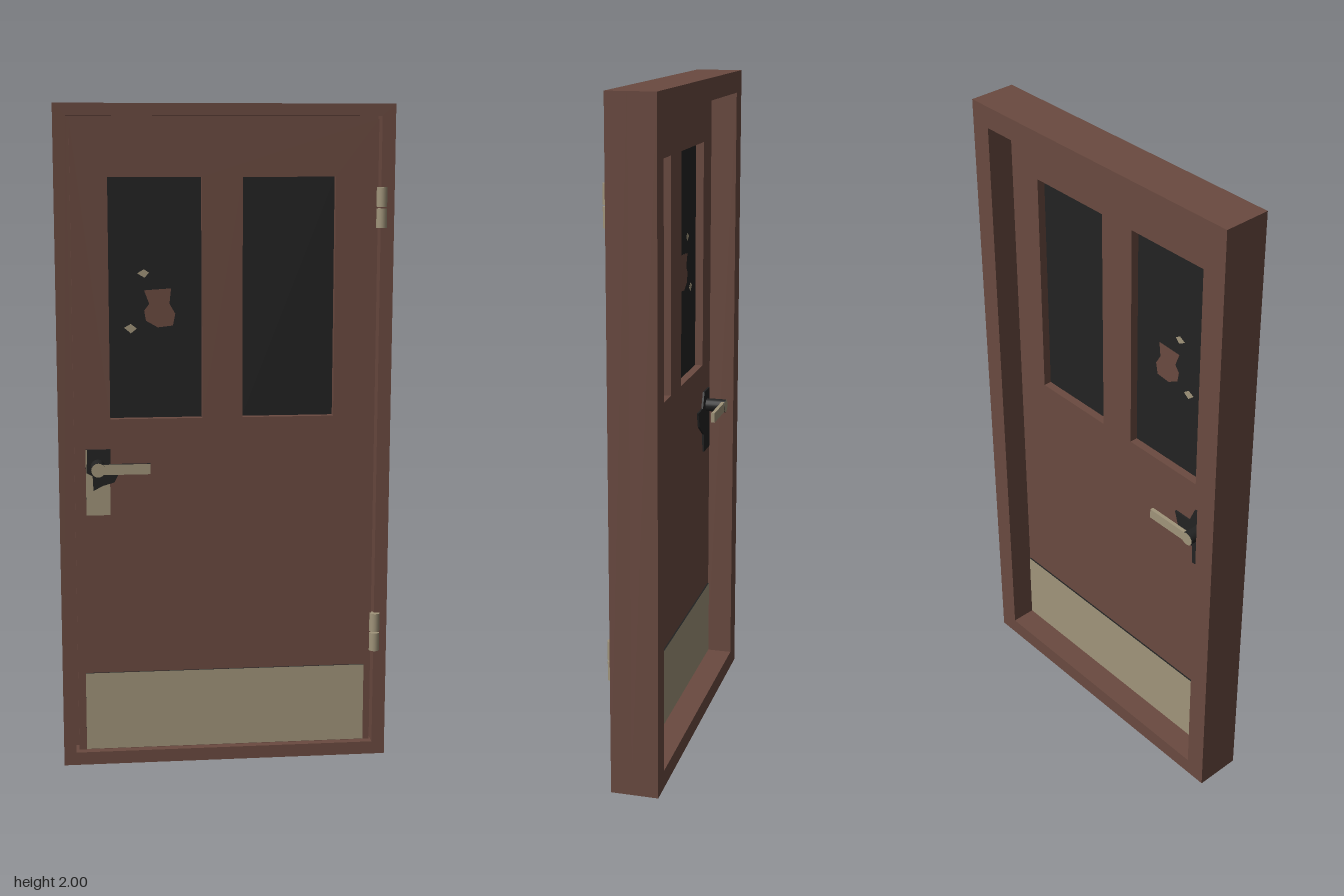
import * as THREE from 'three';

const mat = (name, color, side = THREE.FrontSide) => {
  const m = new THREE.MeshStandardMaterial({ color, side });
  m.name = name;
  return m;
};

export function createModel() {
  const wood = mat('brown paint', 0x6a4a40);
  const metal = mat('brushed metal', 0xa0947a);
  const dark = mat('black glass', 0x222222);
  const door = new THREE.Group();
  door.name = 'door';

  const add = (name, geo, material, x = 0, y = 0, z = 0) => {
    const mesh = new THREE.Mesh(geo, material);
    mesh.name = name;
    mesh.position.set(x, y, z);
    door.add(mesh);
    return mesh;
  };
  // Box from minimum and maximum corners
  const box = (name, material, x0, x1, y0, y1, z0, z1) =>
    add(name, new THREE.BoxGeometry(x1 - x0, y1 - y0, z1 - z0), material,
      (x0 + x1) / 2, (y0 + y1) / 2, (z0 + z1) / 2);
  const polygon = pts => pts.map(p => new THREE.Vector2(...p));
  const rect = ([x0, x1, y0, y1]) => polygon([[x0, y0], [x1, y0], [x1, y1], [x0, y1]]);
  // Slab with an outline and optional openings, between two depths
  const slab = (name, material, outline, holes, z0, z1) => {
    const shape = new THREE.Shape(outline);
    holes.forEach(h => shape.holes.push(new THREE.Path(h)));
    return add(name, new THREE.ExtrudeGeometry(shape, { depth: z1 - z0, bevelEnabled: false }),
      material, 0, 0, z0);
  };

  // Frame: wide rebate in front, narrower stop behind
  const outer = rect([-0.5, 0.5, 0, 2]);
  slab('frameFront', wood, outer, [rect([-0.462, 0.46, 0.04, 1.965])], -0.027, 0.035);
  slab('frameStop', wood, outer, [rect([-0.435, 0.435, 0.055, 1.935])], -0.107, -0.027);

  // Leaf with two window openings
  const windows = [[-0.345, -0.07, 1.08, 1.79], [0.05, 0.325, 1.08, 1.79]];
  slab('leaf', wood, rect([-0.453, 0.451, 0.049, 1.956]), windows.map(rect), -0.025, 0.033);
  windows.forEach(([x0, x1, y0, y1]) => box('glass', dark, x0, x1, y0, y1, 0, 0.008));

  // Broken spots in the left pane, showing on both faces
  const spots = [
    [wood, [[-0.24, 1.46], [-0.16, 1.465], [-0.165, 1.42], [-0.148, 1.39], [-0.155, 1.355],
      [-0.2, 1.35], [-0.235, 1.37], [-0.24, 1.4], [-0.225, 1.42]]],
    [metal, [[-0.26, 1.51], [-0.24, 1.522], [-0.225, 1.512], [-0.238, 1.497]]],
    [metal, [[-0.3, 1.35], [-0.28, 1.361], [-0.262, 1.347], [-0.28, 1.333]]],
  ];
  spots.forEach(([m, pts]) => slab('glassSpot', m, polygon(pts), [], -0.0005, 0.0085));

  // Kick plates on both faces; box sides are dark, broad faces are metal
  const plateMats = [dark, dark, dark, dark, metal, metal];
  box('kickPlateFront', plateMats, -0.43, 0.43, 0.052, 0.295, 0.033, 0.038);
  box('kickPlateBack', plateMats, -0.434, 0.434, 0.056, 0.3, -0.03, -0.025);

  // Front escutcheon with dark upper part
  box('lockPlateFront', plateMats, -0.42, -0.348, 0.79, 0.99, 0.033, 0.04);
  slab('lockPlateDarkFront', dark,
    polygon([[-0.415, 0.99], [-0.346, 0.99], [-0.346, 0.93], [-0.32, 0.92], [-0.335, 0.89],
      [-0.37, 0.88], [-0.398, 0.865], [-0.4, 0.91], [-0.418, 0.92]]), [], 0.034, 0.041);
  // Back escutcheon
  slab('lockPlateBack', dark,
    polygon([[-0.42, 0.99], [-0.35, 0.99], [-0.33, 0.94], [-0.27, 0.94], [-0.285, 0.89],
      [-0.345, 0.85], [-0.348, 0.79], [-0.42, 0.79]]), [], -0.031, -0.025);

  // Lever handles: round hub and flat bar on each face
  [[0.07, 0.088, 0.099], [-0.06, -0.093, -0.082]].forEach(([hubZ, z0, z1], i) => {
    const hub = add(i ? 'hubBack' : 'hubFront', new THREE.CylinderGeometry(0.021, 0.021, 0.069, 16),
      [dark, metal, metal], -0.384, 0.94, hubZ);
    hub.rotation.x = Math.PI / 2;
    const barMats = i ? [metal, metal, metal, dark, metal, metal] : [dark, dark, dark, dark, metal, metal];
    box(i ? 'leverBack' : 'leverFront', barMats, -0.384, -0.23, 0.925, 0.956, z0, z1);
  });

  // Hinges: two knuckles each
  [0.4, 1.7].forEach(y => [-0.031, 0.031].forEach(dy =>
    add('hingeKnuckle', new THREE.CylinderGeometry(0.016, 0.016, 0.057, 16), metal, 0.462, y + dy, 0.036)));

  return door;
}
